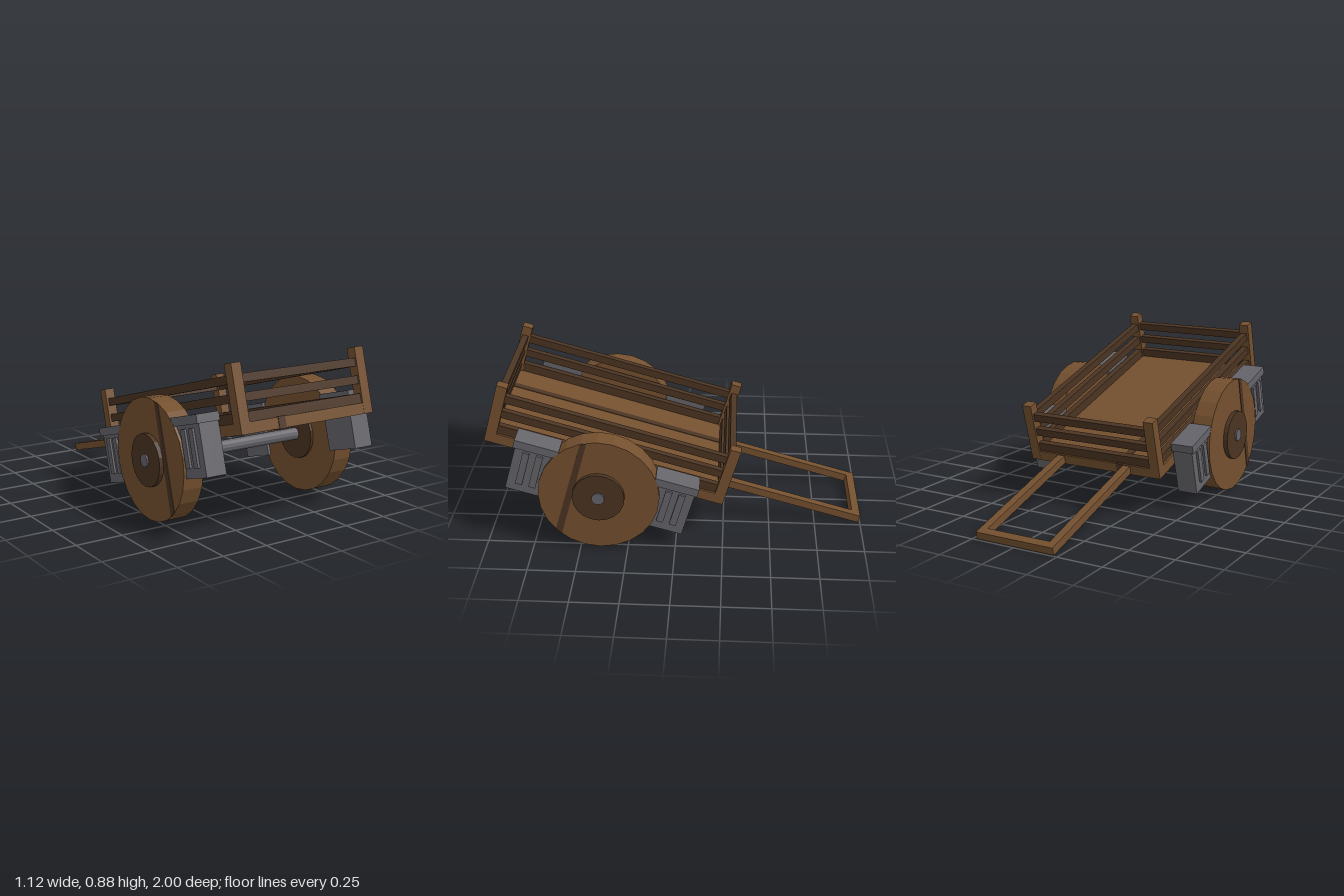
import * as THREE from 'three';

export function createModel() {
  const mat = (name, color) => {
    const m = new THREE.MeshStandardMaterial({ color });
    m.name = name;
    return m;
  };
  const wood = mat('light wood', 0x74502f);
  const darkWood = mat('dark wood', 0x4b3422);
  const iron = mat('grey iron', 0x65646a);

  const model = new THREE.Group();
  model.name = 'handcart';

  // Cart frame: origin on the axle, tipped so the handle rests on the ground
  const cart = new THREE.Group();
  cart.name = 'cart';
  cart.position.set(0, 0.32, 0.395);
  cart.rotation.x = -THREE.MathUtils.degToRad(16);
  model.add(cart);

  // Box given by its limits on each axis
  const box = (name, material, [x0, x1], [y0, y1], [z0, z1], parent = cart) => {
    const mesh = new THREE.Mesh(new THREE.BoxGeometry(x1 - x0, y1 - y0, z1 - z0), material);
    mesh.position.set((x0 + x1) / 2, (y0 + y1) / 2, (z0 + z1) / 2);
    mesh.name = name;
    parent.add(mesh);
    return mesh;
  };
  // Limits mirrored to the side s (+1 or -1)
  const side = (s, a, b) => (s > 0 ? [a, b] : [-b, -a]);

  // Faceted disc lying across x
  const disc = (name, material, radius, [x0, x1], sides, parent) => {
    const geometry = new THREE.CylinderGeometry(radius, radius, x1 - x0, sides).toNonIndexed();
    geometry.rotateZ(Math.PI / 2);
    geometry.computeVertexNormals();
    const mesh = new THREE.Mesh(geometry, material);
    mesh.position.x = (x0 + x1) / 2;
    mesh.name = name;
    parent.add(mesh);
  };

  // Bed with one dark plank
  box('bed', wood, [-0.4, 0.4], [0.065, 0.12], [-0.645, 0.645]);
  box('darkPlank', darkWood, [-0.183, -0.142], [0.062, 0.123], [-0.648, 0.648]);

  // Corner posts
  for (const s of [1, -1]) {
    for (const e of [1, -1]) {
      box('cornerPost', wood, side(s, 0.345, 0.4), [0.066, 0.398], side(e, 0.59, 0.646));
    }
  }

  // Three rows of slats on all four sides
  for (const [y0, y1] of [[0.12, 0.168], [0.215, 0.257], [0.303, 0.345]]) {
    for (const s of [1, -1]) {
      box('sideSlat', darkWood, side(s, 0.352, 0.388), [y0, y1], [-0.6, 0.6]);
      box('endSlat', darkWood, [-0.36, 0.36], [y0, y1], side(s, 0.602, 0.636));
    }
  }

  // Pull handle
  for (const s of [1, -1]) {
    box('handleRail', wood, side(s, 0.183, 0.226), [0.073, 0.115], [-1.418, -0.6]);
  }
  box('handleBar', wood, [-0.183, 0.183], [0.073, 0.115], [-1.418, -1.373]);

  // Iron boxes before and behind each wheel
  for (const s of [1, -1]) {
    for (const e of [1, -1]) {
      const guard = new THREE.Group();
      guard.name = 'guardBox';
      cart.add(guard);
      box('guardBody', iron, side(s, 0.4, 0.512), [-0.108, 0.15], side(e, 0.27, 0.476), guard);
      box('guardCap', iron, side(s, 0.398, 0.526), [0.147, 0.191], side(e, 0.255, 0.487), guard);
      for (const z of [0.325, 0.395]) {
        box('guardRib', iron, side(s, 0.5, 0.524), [-0.06, 0.13], side(e, z, z + 0.036), guard);
      }
    }
  }

  // Axle and wheels
  const running = new THREE.Group();
  running.name = 'wheelsAndAxle';
  running.position.copy(cart.position);
  model.add(running);
  disc('axle', iron, 0.034, [-0.56, 0.56], 12, running);

  // Dark plank on the wheel face, drawn in z and y
  const plank = new THREE.Shape([
    [0.05, 0.309], [0.085, 0.301], [0.232, -0.21], [0.202, -0.24],
  ].map(([z, y]) => new THREE.Vector2(-z, y)));
  const plankGeometry = new THREE.ExtrudeGeometry(plank, { depth: 0.006, bevelEnabled: false });
  plankGeometry.rotateY(Math.PI / 2);

  for (const s of [1, -1]) {
    const wheel = new THREE.Group();
    wheel.name = s > 0 ? 'leftWheel' : 'rightWheel';
    running.add(wheel);
    disc('wheelDisc', wood, 0.316, side(s, 0.416, 0.527), 24, wheel);
    disc('hub', darkWood, 0.136, side(s, 0.4, 0.551), 20, wheel);
    const stripe = new THREE.Mesh(plankGeometry, darkWood);
    stripe.name = 'wheelPlank';
    stripe.position.x = s > 0 ? 0.524 : -0.53;
    wheel.add(stripe);
  }
  return model;
}
